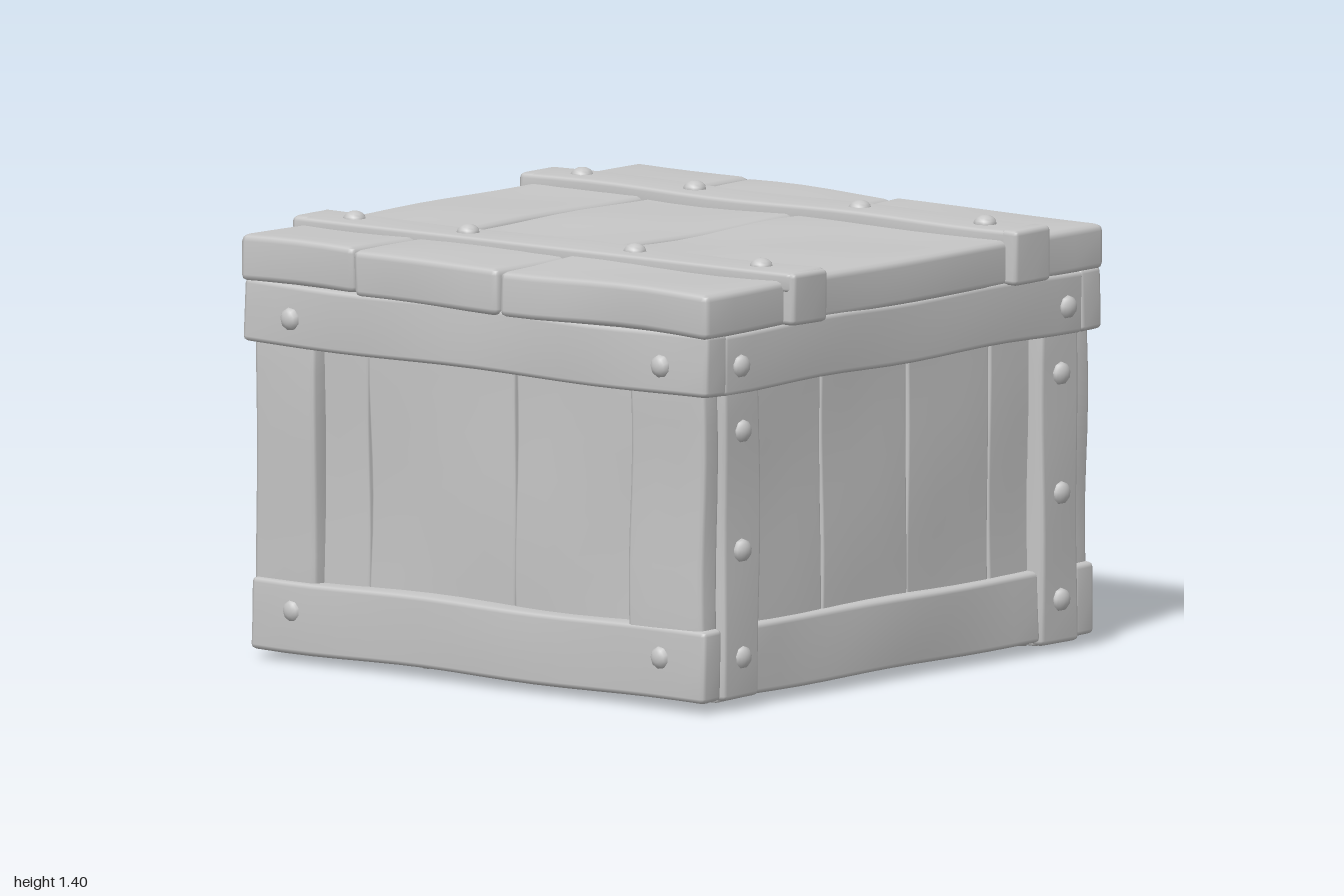
import * as THREE from 'three';
import { mergeVertices } from 'three/addons/utils/BufferGeometryUtils.js';

const weathered = new THREE.MeshStandardMaterial({ color: 0xc6c6c6 });
weathered.name = 'weathered grey';

let seed = 1;

// Worn board between two corners: bevelled edges and a gentle hand-carved wobble
function board(parent, name, min, max, wear = 0.007, r = 0.016) {
  const size = min.map((v, i) => max[i] - v);
  const seg = size.map((s) => Math.max(3, Math.round(s / 0.12) + 2));
  let geo = new THREE.BoxGeometry(1, 1, 1, ...seg);
  geo.deleteAttribute('normal');
  geo.deleteAttribute('uv');
  geo = mergeVertices(geo, 1e-4);
  const pos = geo.attributes.position;
  const s = seed++ * 1.73;
  for (let i = 0; i < pos.count; i++) {
    const p = [pos.getX(i), pos.getY(i), pos.getZ(i)];
    const core = [], out = [];
    for (let a = 0; a < 3; a++) {
      const n = seg[a], k = Math.round((p[a] + 0.5) * n), h = size[a] / 2;
      const b = Math.min(r, h * 0.4);
      core[a] = -h + b + (2 * (h - b) * (Math.min(Math.max(k, 1), n - 1) - 1)) / (n - 2);
      out[a] = k === 0 ? -1 : k === n ? 1 : 0;
    }
    const len = Math.hypot(...out) || 1;
    const q = core.map((c, a) => c + (out[a] / len) * Math.min(r, size[a] * 0.2) + (min[a] + max[a]) / 2);
    const wob = (a) => wear * Math.sin(q[(a + 1) % 3] * 7.3 + s + a * 2) * Math.cos(q[(a + 2) % 3] * 6.1 + s * 2.1 + a);
    pos.setXYZ(i, q[0] + wob(0), q[1] + wob(1), q[2] + wob(2));
  }
  geo.computeVertexNormals();
  const mesh = new THREE.Mesh(geo, weathered);
  mesh.name = name;
  parent.add(mesh);
  return mesh;
}

// Domed nail head facing along dir
const nailGeo = new THREE.SphereGeometry(0.038, 9, 4, 0, Math.PI * 2, 0, Math.PI / 2);
nailGeo.scale(1, 0.75, 1);
function nail(parent, at, dir) {
  const mesh = new THREE.Mesh(nailGeo, weathered);
  mesh.name = 'nailHead';
  mesh.position.set(...at);
  mesh.quaternion.setFromUnitVectors(new THREE.Vector3(0, 1, 0), new THREE.Vector3(...dir));
  parent.add(mesh);
}

function group(parent, name) {
  const g = new THREE.Group();
  g.name = name;
  parent.add(g);
  return g;
}

// Consecutive planks along one axis, split at the given cuts
function planks(parent, name, axis, cuts, min, max) {
  for (let i = 0; i + 1 < cuts.length; i++) {
    const a = [...min], b = [...max];
    a[axis] = cuts[i] + 0.002;
    b[axis] = cuts[i + 1] - 0.002;
    board(parent, name, a, b, 0.005, 0.009);
  }
}

export function createModel() {
  seed = 1;
  const model = new THREE.Group();
  model.name = 'woodenCrate';
  const body = group(model, 'body');
  const lid = group(model, 'lid');

  // Floor planks and the two straps under them
  planks(body, 'floorPlank', 0, [-0.88, -0.5, 0.1, 0.6, 0.88], [0, 0.03, -0.88], [0, 0.09, 0.88]);
  for (const s of [-1, 1]) {
    board(body, 'floorStrap', [-0.91, 0.018, s * 0.78 - 0.09], [0.91, 0.06, s * 0.78 + 0.09], 0.004);
    for (const x of [-0.8, -0.35, 0.3, 0.78]) nail(body, [x, 0.024, s * 0.78], [0, -1, 0]);
  }

  // Front and back: recessed planks, corner boards, bottom rail
  for (const s of [-1, 1]) {
    const span = (a, b) => [Math.min(s * a, s * b), Math.max(s * a, s * b)];
    const [p0, p1] = span(0.83, 0.89);
    planks(body, 'wallPlank', 0, [-0.86, -0.5, 0.1, 0.6, 0.86], [0, 0.06, p0], [0, 1.15, p1]);
    const [f0, f1] = span(0.865, 0.945);
    board(body, 'cornerBoard', [-0.925, 0.2, f0], [-0.68, 1.05, f1]);
    board(body, 'cornerBoard', [0.61, 0.2, f0], [0.915, 1.05, f1]);
    const [r0, r1] = span(0.865, 0.957);
    board(body, 'bottomRail', [-0.935, 0.025, r0], [0.93, 0.255, r1]);
    for (const x of [-0.76, 0.75]) nail(body, [x, 0.16, s * 0.95], [0, 0, s]);
  }

  // Left and right sides: recessed planks, posts, bottom rail
  for (const s of [-1, 1]) {
    const span = (a, b) => [Math.min(s * a, s * b), Math.max(s * a, s * b)];
    const [p0, p1] = span(0.82, 0.88);
    planks(body, 'sidePlank', 2, [-0.86, -0.5, -0.1, 0.32, 0.86], [p0, 0.06, 0], [p1, 1.15, 0]);
    const [f0, f1] = span(0.85, 0.94);
    for (const e of [-1, 1]) {
      board(body, 'sidePost', [f0, 0.025, e * 0.778 - 0.09], [f1, 1.05, e * 0.778 + 0.09]);
      for (const y of [0.16, 0.5, 0.88]) nail(body, [s * 0.937, y, e * 0.78], [s, 0, 0]);
    }
    const [r0, r1] = span(0.85, 0.925);
    board(body, 'sideRail', [r0, 0.03, -0.7], [r1, 0.255, 0.7]);
  }

  // Lid rim
  for (const s of [-1, 1]) {
    const c = s * 0.915;
    board(lid, 'lidRim', [-0.955, 1.0, c - 0.052], [0.95, 1.2, c + 0.052], 0.006);
    board(lid, 'lidSideRim', [c - 0.037, 1.003, -0.88], [c + 0.037, 1.2, 0.88], 0.005);
    for (const e of [-1, 1]) {
      nail(lid, [e * 0.76, 1.09, s * 0.962], [0, 0, s]);
      nail(lid, [s * 0.948, 1.09, e * 0.8], [s, 0, 0]);
    }
  }

  // Lid planks of slightly uneven length
  board(lid, 'lidPlank', [-0.96, 1.19, -0.985], [-0.502, 1.34, 0.965], 0.007, 0.022);
  board(lid, 'lidPlank', [-0.498, 1.185, -0.968], [0.098, 1.335, 0.978], 0.007, 0.022);
  board(lid, 'lidPlank', [0.102, 1.19, -0.978], [0.955, 1.335, 0.98], 0.007, 0.022);

  // Slanted lid straps that fold down over the sides
  for (const [z, tilt, top] of [[0.555, 0.046, 1.362], [-0.55, 0.034, 1.37]]) {
    const strap = group(lid, 'lidStrap');
    strap.position.z = z;
    strap.rotation.y = tilt;
    board(strap, 'strapTop', [-0.99, 1.3, -0.09], [0.985, top, 0.09], 0.004);
    for (const s of [-1, 1]) {
      const c = s * 0.96;
      board(strap, 'strapEnd', [c - 0.033, 1.195, -0.09], [c + 0.033, top, 0.09], 0.004);
    }
    for (const x of [-0.81, -0.36, 0.3, 0.8]) nail(strap, [x, top - 0.004, 0], [0, 1, 0]);
  }
  return model;
}
